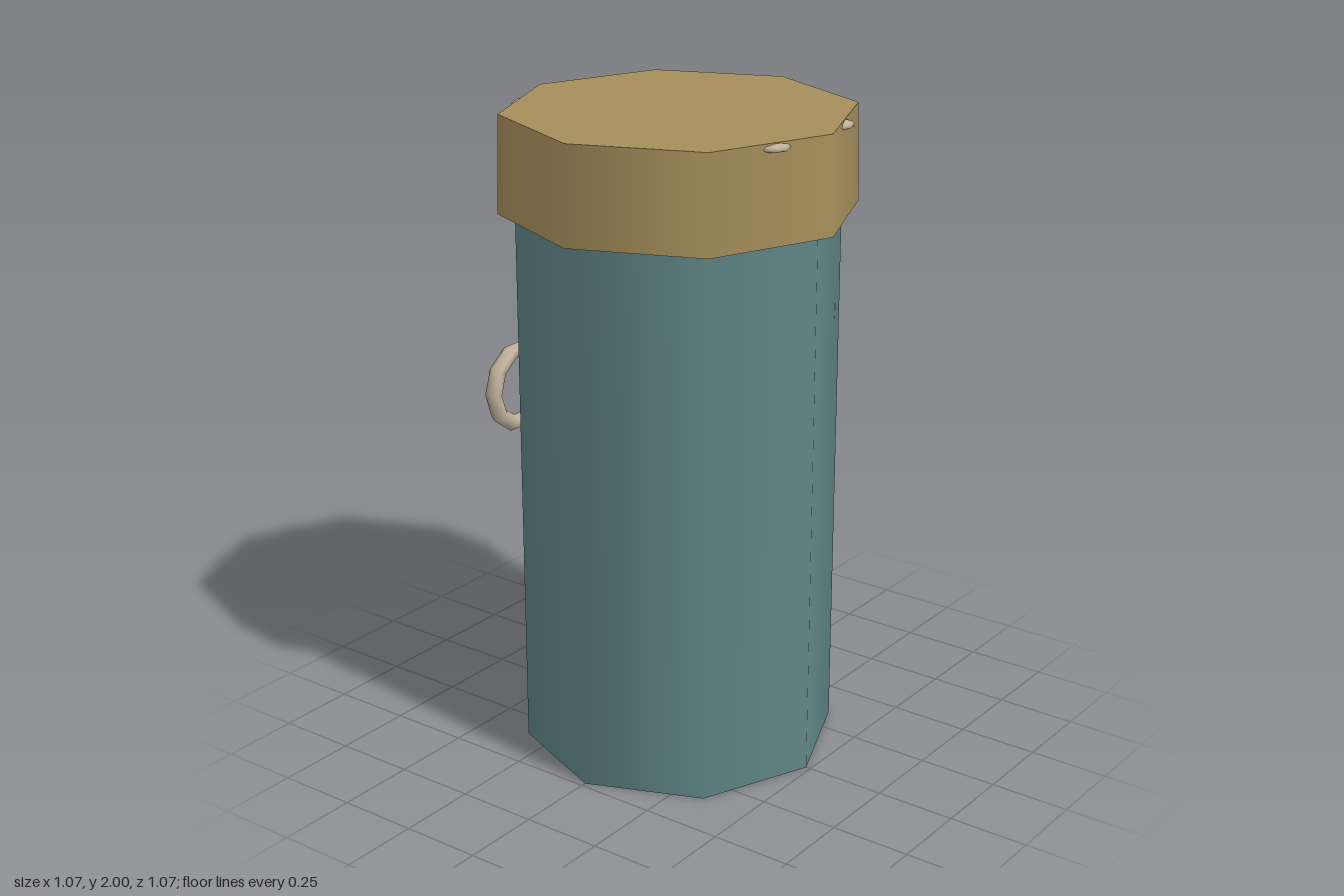
import * as THREE from 'three';

export function createModel() {
  const model = new THREE.Group();
  const teal = new THREE.MeshStandardMaterial({ color: 0x5f8587 });
  const tan = new THREE.MeshStandardMaterial({ color: 0xa68e5a });
  const bone = new THREE.MeshStandardMaterial({ color: 0xbfb199 });

  function add(name, geometry, material, x, y, z) {
    const mesh = new THREE.Mesh(geometry, material);
    mesh.name = name;
    mesh.position.set(x, y, z);
    model.add(mesh);
    return mesh;
  }

  // Eight-sided body and slightly tapered lid
  add('body', new THREE.CylinderGeometry(0.485, 0.485, 1.72, 8), teal, 0, 0.86, 0);
  add('lid', new THREE.CylinderGeometry(0.527, 0.536, 0.295, 8), tan, 0, 1.8525, 0);

  // Rings on the back: x, y, outer radius
  const tube = 0.026;
  const rings = [[0.105, 1.333, 0.1], [-0.153, 1.085, 0.147], [0.165, 0.75, 0.105]];
  for (const [x, y, r] of rings) {
    add('backRing', new THREE.TorusGeometry(r - tube, tube, 6, 10), bone, x, y, -0.508);
  }

  // Flat studs barely showing through the lid's upper edge, front and back
  for (const sx of [-1, 1]) {
    for (const sz of [-1, 1]) {
      const stud = add('lidStud', new THREE.SphereGeometry(0.055, 8, 6), bone, sx * 0.16, 1.984, sz * 0.433);
      stud.scale.y = 0.27;
    }
  }
  return model;
}
